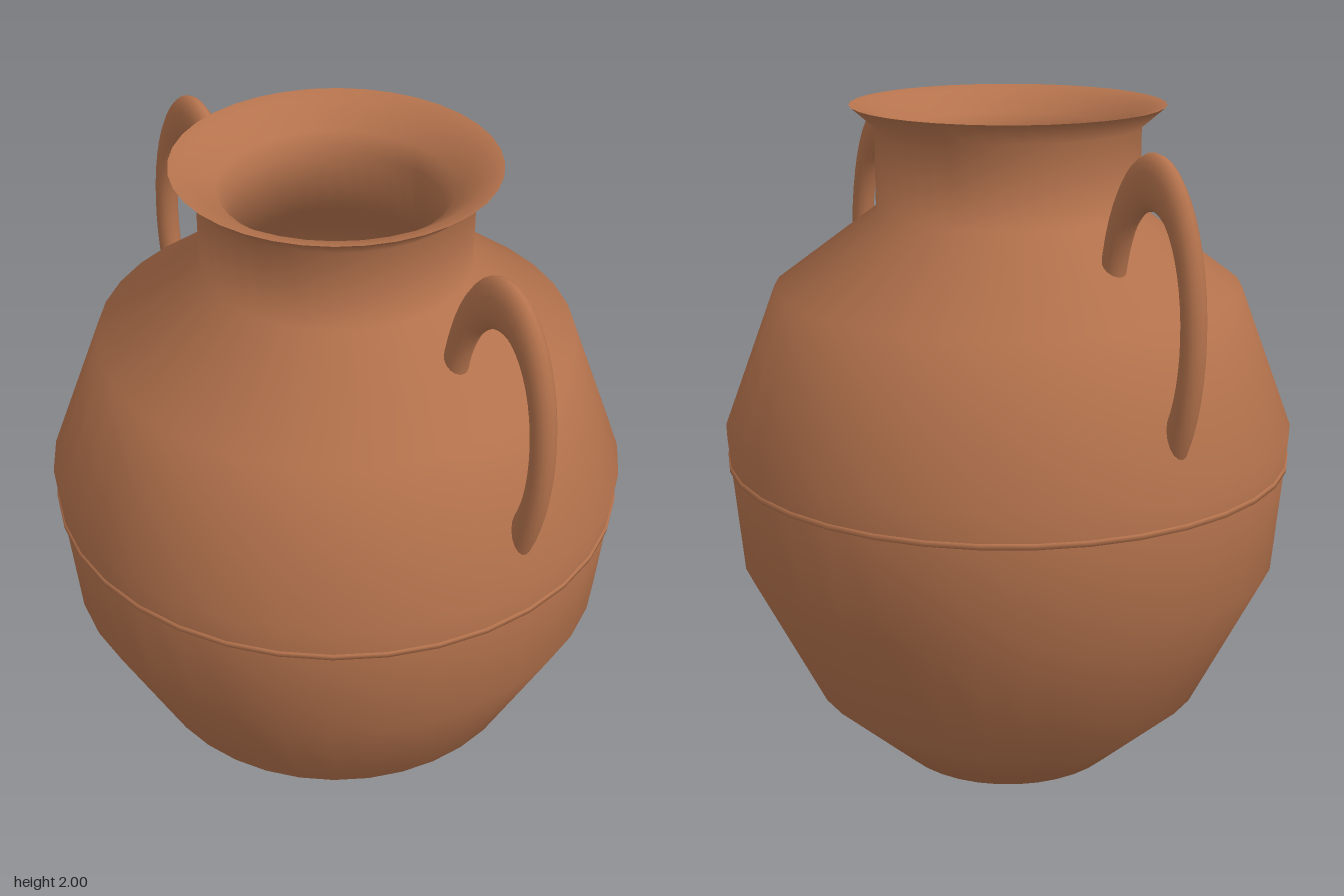
import * as THREE from 'three';

const clay = new THREE.MeshStandardMaterial({ color: 0xb5734d });
clay.name = 'terracotta';

// Revolve a list of [radius, height] points into a smooth surface
function turned(name, points) {
  const profile = points.map(([r, y]) => new THREE.Vector2(r, y));
  const mesh = new THREE.Mesh(new THREE.LatheGeometry(profile, 36), clay);
  mesh.name = name;
  return mesh;
}

// Tall oval loop whose inner side sinks into the shoulder
function handle(name, side) {
  const geometry = new THREE.TorusGeometry(0.17, 0.034, 16, 48);
  geometry.scale(1, 2.23, 1);
  const mesh = new THREE.Mesh(geometry, clay);
  mesh.name = name;
  mesh.position.set(side * 0.65, 1.49, 0);
  return mesh;
}

export function createModel() {
  const jar = new THREE.Group();
  jar.name = 'jar';

  // Outer wall, up to the flared lip
  jar.add(turned('outerWall', [
    [0, 0], [0.34, 0.05], [0.59, 0.28], [0.79, 0.68], [0.825, 1.08],
    [0.67, 1.49], [0.375, 1.71], [0.375, 1.94], [0.445, 2],
  ]));

  // Lip sloping into the mouth, then the hollow inside down to its floor
  jar.add(turned('lipAndInnerWall', [
    [0.445, 2], [0.4, 1.99], [0.32, 1.93], [0.295, 1.87], [0.29, 1.7],
    [0.61, 1.46], [0.765, 1.07], [0.73, 0.7], [0.54, 0.31], [0.31, 0.1], [0, 0.06],
  ]));

  // Fine raised line around the belly
  jar.add(turned('bellyLine', [
    [0.812, 0.978], [0.822, 0.98], [0.823, 0.994], [0.814, 0.996],
  ]));

  jar.add(handle('leftHandle', 1), handle('rightHandle', -1));
  return jar;
}
